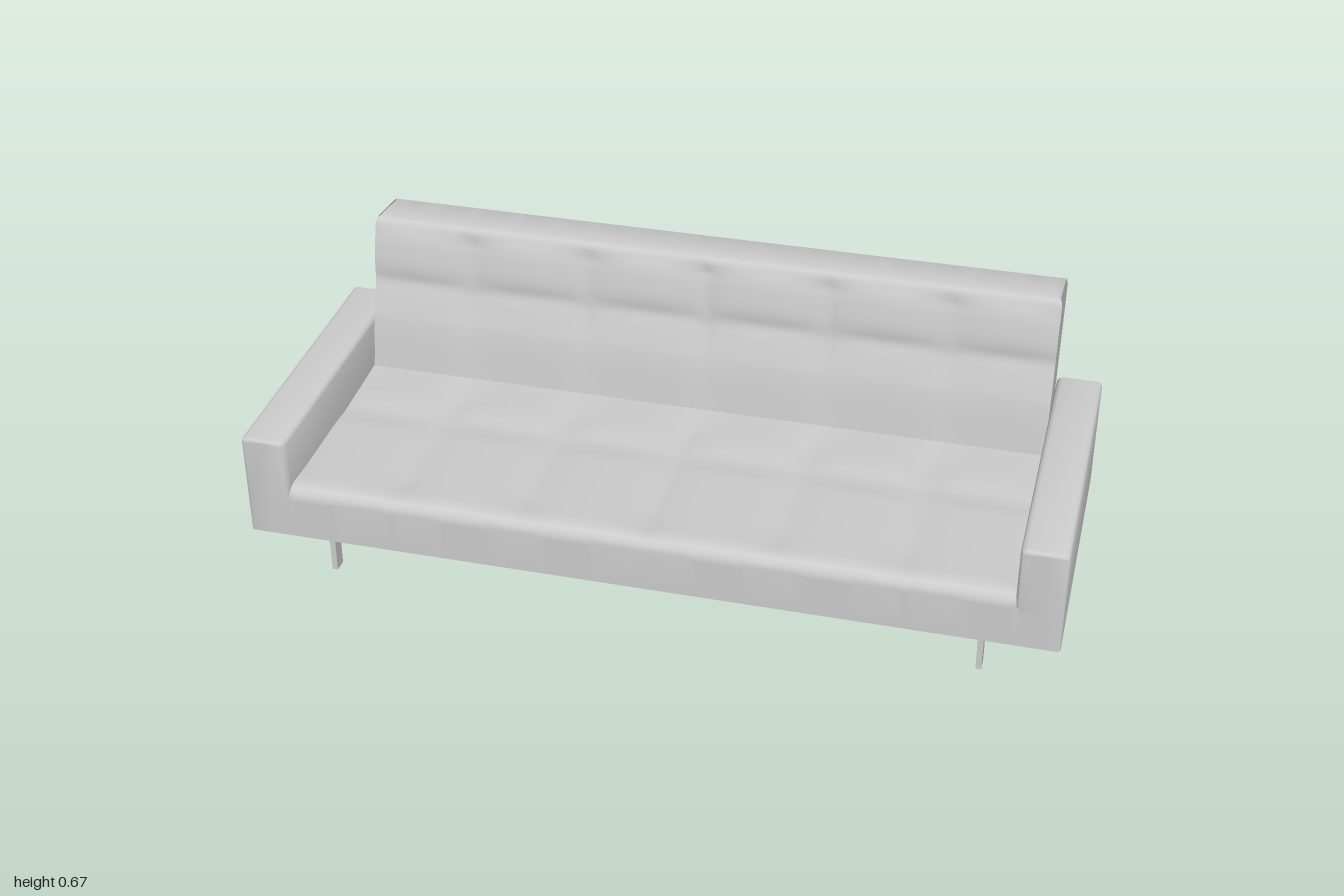
import * as THREE from 'three';
import { toCreasedNormals } from 'three/addons/utils/BufferGeometryUtils.js';

const material = new THREE.MeshStandardMaterial({ color: 0xcccccc, side: THREE.DoubleSide });
const PANEL = 0.31; // width of one tufted panel

// z of the rear surface: upright at the bottom, then leaning back
const rearZ = (y) => -0.315 - Math.max(0, y - 0.25) * 0.235;

// Smooth surface through rows of [x, y, z] points, all rows equally long
function surface(rows, crease = 0.7) {
  const n = rows[0].length;
  const index = [];
  for (let r = 0; r < rows.length - 1; r++) {
    for (let c = 0; c < n - 1; c++) {
      const a = r * n + c;
      index.push(a, a + 1, a + n, a + 1, a + n + 1, a + n);
    }
  }
  const geometry = new THREE.BufferGeometry();
  geometry.setAttribute('position', new THREE.Float32BufferAttribute(rows.flat(2), 3));
  geometry.setIndex(index);
  return toCreasedNormals(geometry, crease);
}

function addMesh(parent, name, geometry) {
  const mesh = new THREE.Mesh(geometry, material);
  mesh.name = name;
  parent.add(mesh);
  return mesh;
}

// 0 on a seam, 1 in the middle of a cushion panel
const pillow = (t) => Math.pow(Math.abs(Math.sin(Math.PI * t)), 0.55);

// Side profile of the upholstery: z, y, half width, seat tuft, backrest tuft, cross seam
function upholsteryProfile() {
  const p = [];
  const add = (z, y, hw, seat = 0, back = 0, cross = 1) => p.push({ z, y, hw, seat, back, cross });
  add(0.41, 0.13, 0.945);
  add(0.41, 0.235, 0.945);
  add(0.41, 0.24, 0.89);
  add(0.406, 0.256, 0.89);
  add(0.396, 0.267, 0.89, 0.2);
  // seat, with one seam running across it
  for (let i = 0; i <= 20; i++) {
    const t = i / 20;
    const z = 0.38 - 0.56 * t;
    const fade = Math.min(1, 0.3 + t * 5, (1 - t) * 5);
    add(z, 0.272, 0.89, fade, 0, Math.min(1, 0.4 + Math.abs(z - 0.03) / 0.1));
  }
  // front of the backrest, with its own cross seam
  const front = new THREE.CatmullRomCurve3([
    [-0.18, 0.272], [-0.2, 0.4], [-0.223, 0.48], [-0.23, 0.53], [-0.249, 0.62], [-0.264, 0.655],
  ].map(([z, y]) => new THREE.Vector3(0, y, z)));
  for (let i = 1; i <= 24; i++) {
    const t = i / 24;
    const v = front.getPoint(t);
    const fade = Math.min(1, t * 2.2, (1 - t) * 6);
    add(v.z, v.y, 0.885, 0, fade, Math.min(1, 0.4 + Math.abs(v.y - 0.51) / 0.06));
  }
  // top and rear
  add(-0.27, 0.666, 0.882);
  add(-0.28, 0.67, 0.876);
  add(-0.4, 0.656, 0.876);
  add(-0.408, 0.653, 0.882);
  for (const y of [0.64, 0.5, 0.4, 0.3]) add(rearZ(y), y, 0.885);
  add(rearZ(0.25), 0.25, 0.945);
  add(-0.315, 0.13, 0.945);
  return p;
}

function upholsteryPoint(p, u) {
  const x = p.hw * u;
  const dip = 1 - pillow(x / PANEL) * p.cross;
  return [x, p.y - 0.014 * p.seat * dip, p.z - 0.014 * p.back * dip];
}

// Armrest shell, open underneath
function armGeometry() {
  const section = [
    [1, 0.13], [1, 0.25], [1, 0.39], [0.997, 0.398], [0.99, 0.402],
    [0.9, 0.402], [0.891, 0.398], [0.887, 0.39], [0.887, 0.25], [0.887, 0.23],
  ];
  const mid = 0.9435;
  const inset = (x, d) => x + Math.sign(mid - x) * d;
  const row = (zAt, d) => section.map(([x, y]) => {
    const yy = Math.min(y, 0.402 - d);
    return [inset(x, d), yy, zAt(yy)];
  });
  const collapsed = (zAt) => section.map(([, y]) => {
    const yy = Math.min(y, 0.394);
    return [mid, yy, zAt(yy)];
  });
  return surface([
    collapsed(() => 0.41),
    row(() => 0.41, 0.008),
    row(() => 0.407, 0.002),
    row(() => 0.4, 0),
    row(rearZ, 0),
    collapsed(rearZ),
  ], 0.9);
}

// Flat U-shaped leg frame, drawn in z and y
function legFrameGeometry() {
  const shape = new THREE.Shape([
    [-0.31, 0], [-0.275, 0], [-0.275, 0.105], [0.32, 0.105],
    [0.32, 0], [0.355, 0], [0.355, 0.13], [-0.31, 0.13],
  ].map(([z, y]) => new THREE.Vector2(z, y)));
  const geometry = new THREE.ExtrudeGeometry(shape, { depth: 0.014, bevelEnabled: false });
  geometry.translate(0, 0, -0.007);
  geometry.rotateY(-Math.PI / 2);
  return geometry;
}

export function createModel() {
  const sofa = new THREE.Group();
  sofa.name = 'sofa';

  // Front lip, seat, backrest and rear panel as one tufted skin
  const profile = upholsteryProfile();
  const columns = 96;
  const rows = profile.map((p) =>
    Array.from({ length: columns + 1 }, (_, i) => upholsteryPoint(p, (i / columns) * 2 - 1)));
  addMesh(sofa, 'seatAndBackrest', surface(rows));

  // Ends of the backrest
  const endPoints = profile
    .filter((p) => p.z < -0.17 && p.y > 0.26)
    .map((p) => upholsteryPoint(p, 1));
  const endShape = new THREE.Shape(endPoints.map(([, y, z]) => new THREE.Vector2(z, y)));

  for (const [side, s] of [['left', 1], ['right', -1]]) {
    const end = new THREE.ShapeGeometry(endShape);
    end.rotateY(-Math.PI / 2);
    // follow the softened top edge
    const pos = end.attributes.position;
    for (let i = 0; i < pos.count; i++) pos.setX(i, pos.getY(i) > 0.652 ? 0.88 : 0.885);
    addMesh(sofa, side + 'BackrestEnd', end).scale.x = s;

    addMesh(sofa, side + 'Armrest', armGeometry()).scale.x = s;
    addMesh(sofa, side + 'LegFrame', legFrameGeometry()).position.x = s * 0.812;
  }
  return sofa;
}
